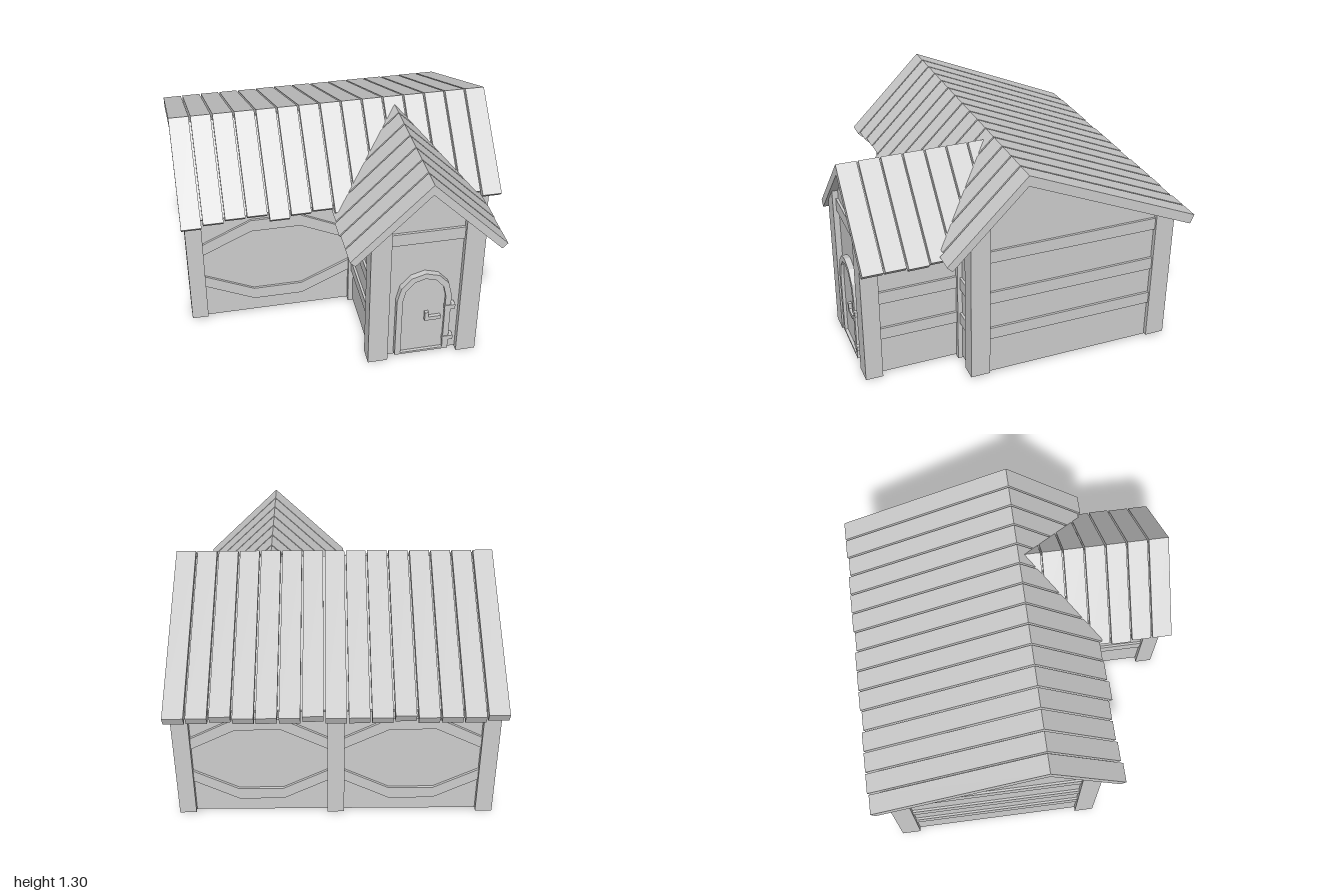
import * as THREE from 'three';

const PX = 0.388; // porch ridge x
const RZ = 0.08;  // main ridge z
const BACK = 0.43; // back roof slope

export function createModel() {
  const model = new THREE.Group();
  const mat = new THREE.MeshStandardMaterial({ color: 0xcccccc, flatShading: true, side: THREE.DoubleSide });

  const add = (parent, name, geo) => {
    const mesh = new THREE.Mesh(geo, mat);
    mesh.name = name;
    parent.add(mesh);
    return mesh;
  };
  const group = (name) => {
    const g = new THREE.Group();
    g.name = name;
    model.add(g);
    return g;
  };
  const shapeOf = (pts) => new THREE.Shape(pts.map(([a, b]) => new THREE.Vector2(a, b)));

  // Slab with an outline in x,y between two z values
  const slabZ = (pts, z0, z1, hole) => {
    const s = shapeOf(pts);
    if (hole) s.holes.push(shapeOf(hole));
    return new THREE.ExtrudeGeometry(s, { depth: z1 - z0, bevelEnabled: false }).translate(0, 0, z0);
  };
  // Slab with an outline in z,y between two x values
  const slabX = (pts, x0, x1) =>
    new THREE.ExtrudeGeometry(shapeOf(pts), { depth: x1 - x0, bevelEnabled: false })
      .rotateY(-Math.PI / 2).translate(x1, 0, 0);
  const box = (x0, x1, y0, y1, z0, z1) =>
    new THREE.BoxGeometry(x1 - x0, y1 - y0, z1 - z0)
      .translate((x0 + x1) / 2, (y0 + y1) / 2, (z0 + z1) / 2);

  // Undersides of the two roofs
  const mainUnder = (x, z) => 1.238 - (z > RZ ? z - RZ : (RZ - z) * BACK);
  const porchUnder = (x) => 1.203 - Math.abs(x - PX);

  // Post whose top is cut to the slope of the roof
  const post = (parent, name, x0, x1, z0, z1, y0, under) => {
    const geo = box(x0, x1, y0, 2, z0, z1);
    const p = geo.attributes.position;
    for (let i = 0; i < p.count; i++) {
      if (p.getY(i) > 1) p.setY(i, under(p.getX(i), p.getZ(i)));
    }
    add(parent, name, geo);
  };

  // Ridged profile: slopes a (towards -) and b (towards +), square-cut eaves
  const ridge = (c, top, thick, wa, wb, a, b) => {
    const ka = thick * a / (1 + a * a), kb = thick * b / (1 + b * b);
    return [
      [c - wa, top - wa * a], [c - wa + ka, top - thick - (wa - ka) * a],
      [c, top - thick],
      [c + wb - kb, top - thick - (wb - kb) * b], [c + wb, top - wb * b], [c, top],
    ];
  };

  // Main roof: planks of uneven length over a lining
  const roof = group('mainRoof');
  const frontCut = [0.475, 0.462, 0.452, 0.45, 0.475, 0.462, 0.455];
  for (let i = 0; i < 15; i++) {
    const x0 = -0.975 + i * 0.13;
    const front = frontCut[i % 7], back = i % 4 === 0 ? 1.06 : 1.07;
    add(roof, 'roofPlank', slabX(ridge(RZ, 1.303, 0.065, back, front, BACK, 1), x0, x0 + 0.119));
  }
  add(roof, 'roofLining', slabX(ridge(RZ, 1.265, 0.025, 0.99, 0.42, BACK, 1), -0.95, 0.945));

  // Porch roof: planks step into the main roof
  const porchRoof = group('porchRoof');
  for (let i = 0; i < 7; i++) {
    const z1 = 1 - i * 0.131, z0 = Math.max(z1 - 0.121, 0.115);
    const w = Math.min(i === 2 ? 0.47 : 0.463, z1 - 0.1);
    add(porchRoof, 'porchPlank', slabZ(ridge(PX, 1.266, 0.065, w, w, 1, 1), z0, z1));
    add(porchRoof, 'porchLining', slabZ(ridge(PX, 1.23, 0.025, w - 0.04, w - 0.04, 1, 1), z0 - 0.012, z1 - 0.02));
  }

  // Walls
  const walls = group('walls');
  const gable = [[-0.83, 0.012], [0.38, 0.012], [0.38, 0.938], [RZ, 1.238], [-0.83, 0.847]];
  add(walls, 'gableWall', slabX(gable, 0.9, 0.915));
  add(walls, 'gableWall', slabX(gable, -0.925, -0.91));
  add(walls, 'backWall', box(-0.92, 0.91, 0.012, 0.847, -0.83, -0.815));
  add(walls, 'frontWall', box(-0.92, 0.11, 0.012, 0.938, 0.365, 0.38));
  add(walls, 'frontWall', box(0.66, 0.91, 0.012, 0.938, 0.365, 0.38));
  for (const s of [-1, 1]) {
    const x = PX - 0.003 + s * 0.298;
    add(walls, 'porchSideWall', box(x - 0.007, x + 0.007, 0.012, 0.9, 0.36, 0.95));
  }
  add(walls, 'porchFrontWall', slabZ([[0.09, 0.012], [0.68, 0.012], [0.68, 0.91], [PX, 1.203], [0.09, 0.905]], 0.935, 0.95));

  // Posts
  const posts = group('posts');
  for (const [x0, x1] of [[-0.953, -0.853], [0.842, 0.942]]) {
    post(posts, 'cornerPost', x0, x1, 0.29, 0.408, 0.02, mainUnder);
    post(posts, 'cornerPost', x0, x1, -0.868, -0.75, 0.02, mainUnder);
  }
  post(posts, 'backPost', -0.055, 0.045, -0.868, -0.76, 0.02, mainUnder);
  for (const [x0, x1] of [[0.05, 0.17], [0.6, 0.72]]) {
    post(posts, 'porchPost', x0, x1, 0.88, 0.985, 0, porchUnder);
    post(posts, 'innerPost', x0, x1, 0.305, 0.408, 0, mainUnder);
  }

  // Straight timber rails
  const rails = group('rails');
  const low = [0.255, 0.33], mid = [0.5, 0.578], high = [0.775, 0.85];
  for (const [y0, y1] of [low, mid, high]) {
    add(rails, 'gableRail', box(0.89, 0.929, y0, y1, -0.76, 0.3));
    add(rails, 'gableRail', box(-0.939, -0.9, y0, y1, -0.76, 0.3));
    add(rails, 'frontRail', box(0.71, 0.85, y0, y1, 0.355, 0.394));
  }
  for (const [y0, y1] of [low, mid]) {
    add(rails, 'porchRail', box(0.67, 0.704, y0, y1, 0.4, 0.89));
    add(rails, 'porchRail', box(0.066, 0.1, y0, y1, 0.4, 0.89));
  }
  add(rails, 'lintelRail', box(0.16, 0.61, 0.85, 0.93, 0.925, 0.965));

  // Bent braces forming an open hexagon in a bay
  const braces = (x0, x1, z0, z1) => {
    const a = x0 + (x1 - x0) / 3, b = x1 - (x1 - x0) / 3;
    const upper = [[x0, 0.5], [a, 0.642], [b, 0.642], [x1, 0.5], [x1, 0.578], [b, 0.722], [a, 0.722], [x0, 0.578]];
    add(rails, 'upperBrace', slabZ(upper, z0, z1));
    add(rails, 'lowerBrace', slabZ(upper.map(([x, y]) => [x, 0.832 - y]).reverse(), z0, z1));
  };
  braces(-0.855, 0.052, 0.355, 0.394);
  braces(-0.855, -0.053, -0.845, -0.805);
  braces(0.043, 0.844, -0.845, -0.805);

  // Arched door with frame, handle and hinges
  const door = group('door');
  const DX = 0.379;
  const arch = (half, bottom, spring, top) => {
    const pts = [[DX - half, bottom], [DX + half, bottom]];
    for (let i = 0; i <= 6; i++) {
      const t = (i / 6) * Math.PI;
      pts.push([DX + half * Math.cos(t), spring + (top - spring) * Math.sin(t)]);
    }
    return pts;
  };
  add(door, 'doorFrame', slabZ(arch(0.165, 0.033, 0.455, 0.64), 0.945, 0.986, arch(0.13, 0.046, 0.45, 0.603)));
  add(door, 'doorLeaf', slabZ(arch(0.132, 0.04, 0.45, 0.604), 0.945, 0.967));
  add(door, 'handle', slabZ([[0.388, 0.28], [0.485, 0.28], [0.485, 0.306], [0.41, 0.306], [0.41, 0.342], [0.388, 0.342]], 0.96, 0.988));
  for (const y of [0.105, 0.35]) add(door, 'hinge', box(0.505, 0.57, y, y + 0.03, 0.945, 0.991));

  return model;
}
